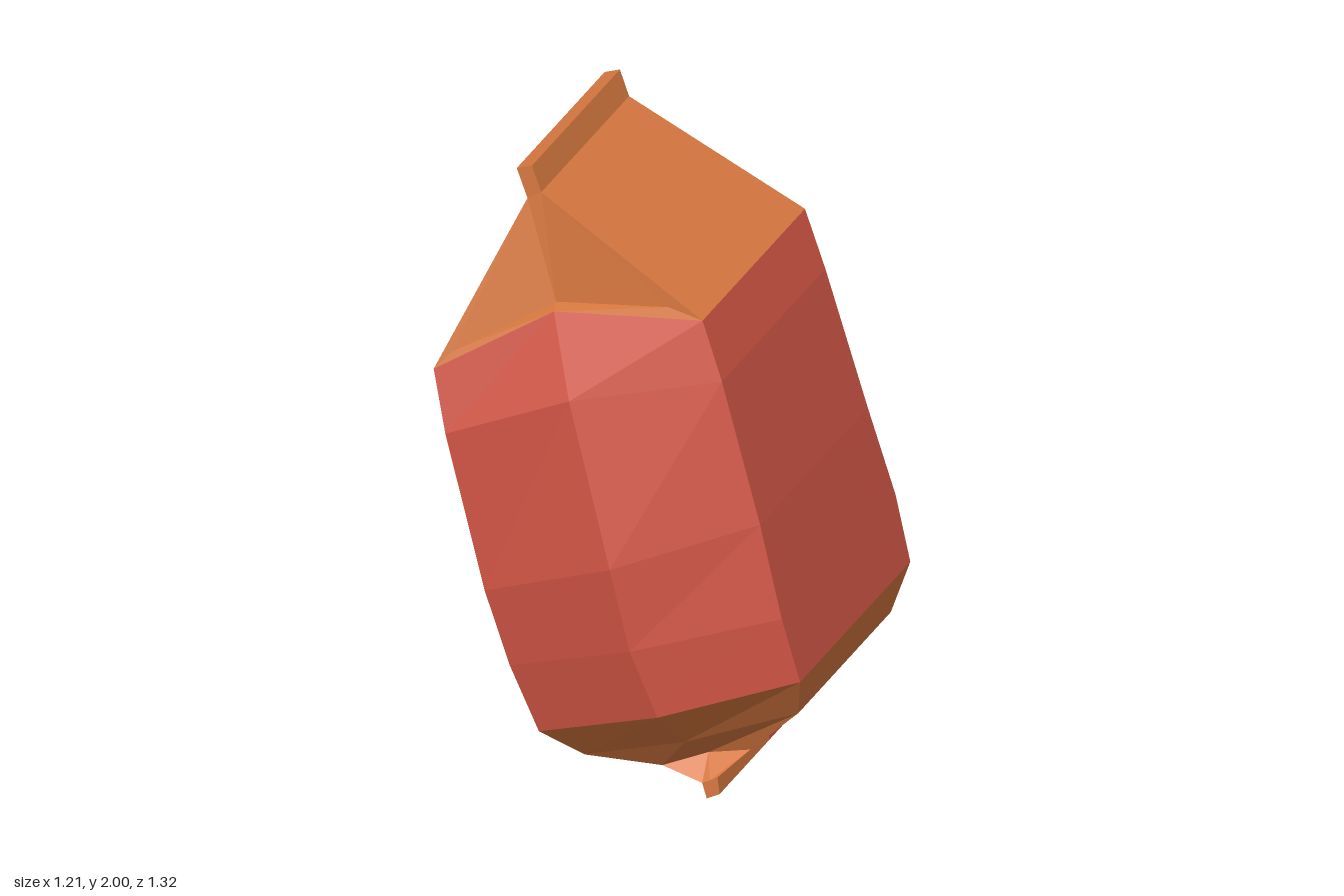
import * as THREE from 'three';

const orange = new THREE.MeshStandardMaterial({ color: 0xd87840, flatShading: true });
orange.name = 'orange paper';
const red = new THREE.MeshStandardMaterial({ color: 0xd05545, flatShading: true });
red.name = 'red paper';

// Mesh from polygons (corner lists, counterclockwise from outside)
function facets(name, material, polygons) {
  const pos = [];
  for (const p of polygons) {
    for (let i = 1; i < p.length - 1; i++) pos.push(...p[0], ...p[i], ...p[i + 1]);
  }
  const g = new THREE.BufferGeometry();
  g.setAttribute('position', new THREE.Float32BufferAttribute(pos, 3));
  g.computeVertexNormals();
  const mesh = new THREE.Mesh(g, material);
  mesh.name = name;
  return mesh;
}

// Ring of eight: right edge, back fold, left edge, front fold.
// Each entry: [x, y, front z, back z]; the side edges get a point at the colour split.
const SPLIT = -0.06;
function ring(r, c, l) {
  const at = (p, z) => [p[0], p[1], z];
  return [at(r, r[2]), at(r, SPLIT), at(r, r[3]), at(c, c[3]),
    at(l, l[3]), at(l, SPLIT), at(l, l[2]), at(c, c[2])];
}

function cells(lower, upper) {
  return lower.map((p, i) => {
    const j = (i + 1) % lower.length;
    return [p, lower[j], upper[j], upper[i]];
  });
}

export function createModel() {
  const bag = new THREE.Group();
  bag.name = 'paperBag';

  // Tilted bulging body, top to bottom
  const body = [
    ring([0.27, 1.61, 0.475, -0.51], [-0.23, 1.56, 0.43, -0.585], [-0.605, 1.34, 0.48, -0.605]),
    ring([0.345, 1.43, 0.51, -0.485], [-0.13, 1.33, 0.58, -0.62], [-0.55, 1.15, 0.53, -0.61]),
    ring([0.478, 0.98, 0.535, -0.5], [0.03, 0.82, 0.66, -0.66], [-0.41, 0.66, 0.565, -0.59]),
    ring([0.552, 0.68, 0.545, -0.55], [0.09, 0.55, 0.645, -0.645], [-0.33, 0.42, 0.56, -0.57]),
    ring([0.605, 0.47, 0.525, -0.535], [0.17, 0.33, 0.615, -0.62], [-0.245, 0.2, 0.53, -0.53]),
  ];
  const bodyFaces = [];
  for (let i = 0; i < body.length - 1; i++) bodyFaces.push(...cells(body[i + 1], body[i]));
  bag.add(facets('body', red, bodyFaces));

  // Base narrowing to the bottom seal
  const base = [
    body[4],
    ring([0.57, 0.33, 0.44, -0.45], [0.21, 0.2, 0.47, -0.47], [-0.13, 0.1, 0.43, -0.43]),
    ring([0.39, 0.16, 0.37, -0.37], [0.25, 0.13, 0.36, -0.36], [0.11, 0.08, 0.39, -0.39]),
    ring([0.3, 0.075, 0.42, -0.425], [0.275, 0.062, 0.42, -0.425], [0.25, 0.05, 0.42, -0.425]),
    ring([0.307, 0.02, 0.42, -0.425], [0.286, 0.01, 0.42, -0.425], [0.265, 0, 0.42, -0.425]),
  ];
  const parts = { base: [[], []], bottomSeal: [[], []] };
  for (let i = 0; i < base.length - 1; i++) {
    cells(base[i + 1], base[i]).forEach((cell, col) => {
      const isRed = col >= (i === 0 ? 3 : 1) && col <= 4;
      parts[i < 3 ? 'base' : 'bottomSeal'][isRed ? 1 : 0].push(cell);
    });
  }
  const tip = base[4];
  parts.bottomSeal[0].push([tip[0], tip[6], tip[5], tip[1]]);
  parts.bottomSeal[1].push([tip[1], tip[5], tip[4], tip[2]]);
  for (const [name, [front, back]] of Object.entries(parts)) {
    bag.add(facets(name + 'Front', orange, front), facets(name + 'Back', red, back));
  }

  // Gabled top: two slopes and a folded end at front and back
  const top = body[0];
  const [RF, , RB, CB, LB, , LF, CF] = top;
  const seal = (xl, yl, xr, yr) => [[xr, yr, 0.345], [xr, yr, -0.5], [xl, yl, -0.5], [xl, yl, 0.345]];
  const low = seal(-0.345, 1.89, -0.3, 1.915);
  const high = seal(-0.38, 1.985, -0.33, 2);
  const end = (L, JL, I, JR, R, C, AL, AR) => [
    [AL, L, JL], [AL, JL, I], [AL, I, AR], [AR, I, JR], [AR, JR, R],
    [L, C, JL], [JL, C, I], [I, C, JR], [JR, C, R],
  ];
  const frontEnd = end(LF, [-0.55, 1.4, 0.463], [-0.24, 1.572, 0.38], [0.15, 1.63, 0.45],
    RF, CF, low[3], low[0]);
  const backEnd = end(LB, [-0.51, 1.42, -0.6], [-0.18, 1.59, -0.53], [0.15, 1.63, -0.535],
    RB, CB, low[2], low[1]).map((t) => t.reverse());
  bag.add(facets('gableTop', orange, [
    [RF, RB, low[1], low[0]], [LB, LF, low[3], low[2]], ...frontEnd, ...backEnd,
  ]));

  // Flat seal on the ridge, with a red left-hand face
  const sealSides = cells(low, high);
  bag.add(facets('topSeal', orange, [sealSides[0], sealSides[1], sealSides[3], high]));
  bag.add(facets('topSealRedFace', red, [sealSides[2]]));
  return bag;
}
